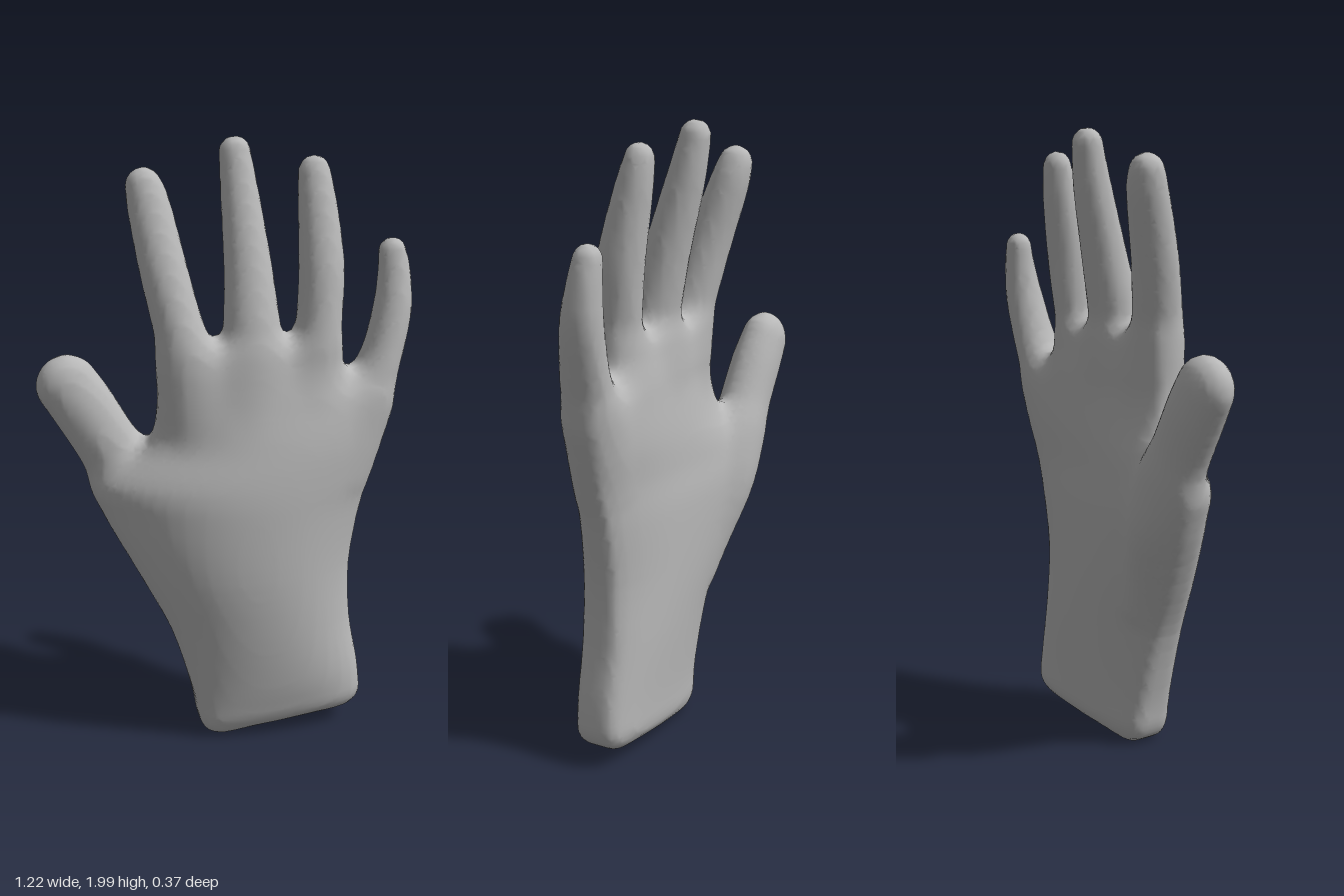
import * as THREE from 'three';

// Smooth (Catmull-Rom) interpolation of rows of numbers, column by column
function resample(rows, steps) {
  const out = [];
  const at = (i) => rows[Math.min(Math.max(i, 0), rows.length - 1)];
  for (let i = 0; i < rows.length - 1; i++) {
    for (let s = 0; s < steps; s++) {
      const t = s / steps;
      out.push(rows[i].map((p1, c) => {
        const p0 = at(i - 1)[c], p2 = at(i + 1)[c], p3 = at(i + 2)[c];
        return p1 + 0.5 * t * (p2 - p0 + t * (2 * p0 - 5 * p1 + 4 * p2 - p3 + t * (3 * (p1 - p2) + p3 - p0)));
      }));
    }
  }
  out.push(rows[rows.length - 1]);
  return out;
}

// Palm cross-sections: y, left x, right x, centre z (3), half thickness (3), squareness
// The triples run from the left edge over the middle to the right edge
const PALM = resample([
  [0, -0.118, 0.443, 0.02, 0.012, 0.005, 0.09, 0.108, 0.09, 0.42],
  [0.08, -0.125, 0.447, 0.02, 0.015, 0.005, 0.09, 0.112, 0.09, 0.42],
  [0.2, -0.148, 0.437, 0.02, 0.025, 0.005, 0.09, 0.126, 0.09, 0.48],
  [0.4, -0.212, 0.407, 0.01, 0.032, 0, 0.095, 0.145, 0.09, 0.55],
  [0.6, -0.312, 0.402, -0.02, 0.035, 0, 0.1, 0.158, 0.088, 0.6],
  [0.8, -0.412, 0.437, -0.055, 0.032, -0.005, 0.1, 0.158, 0.09, 0.62],
  [0.92, -0.435, 0.475, -0.055, 0.032, -0.005, 0.095, 0.148, 0.09, 0.62],
  [1.05, -0.275, 0.51, -0.02, 0.025, -0.012, 0.085, 0.13, 0.085, 0.6],
  [1.17, -0.242, 0.525, 0, 0.015, -0.012, 0.078, 0.108, 0.08, 0.6],
  [1.24, -0.235, 0.42, 0, 0.01, -0.005, 0.075, 0.097, 0.075, 0.6],
  [1.3, -0.232, 0.35, 0, 0.007, 0, 0.07, 0.088, 0.07, 0.62],
  [1.4, -0.22, 0.335, -0.005, 0, 0, 0.055, 0.07, 0.055, 0.65],
], 4);

// Digit centre lines from the root inside the palm: x, y, z, half width, half depth
const DIGITS = Object.entries({
  thumb: [
    [-0.16, 0.5, -0.02, 0.04, 0.06], [-0.265, 0.75, -0.075, 0.09, 0.092], [-0.335, 0.92, -0.09, 0.112, 0.09],
    [-0.4, 1.04, -0.09, 0.102, 0.083], [-0.47, 1.16, -0.095, 0.102, 0.08], [-0.517, 1.232, -0.1, 0.1, 0.073]],
  indexFinger: [
    [-0.1, 1.05, 0.02, 0.08, 0.06], [-0.135, 1.25, 0.012, 0.088, 0.074], [-0.157, 1.37, 0.005, 0.084, 0.08],
    [-0.178, 1.46, -0.012, 0.078, 0.078], [-0.21, 1.61, -0.047, 0.075, 0.072], [-0.242, 1.79, -0.098, 0.068, 0.063],
    [-0.256, 1.855, -0.113, 0.057, 0.054]],
  middleFinger: [
    [0.06, 1.05, 0.03, 0.08, 0.07], [0.065, 1.25, 0.015, 0.098, 0.08], [0.066, 1.37, 0.008, 0.096, 0.08],
    [0.064, 1.46, -0.008, 0.088, 0.078], [0.06, 1.61, -0.043, 0.076, 0.071], [0.046, 1.82, -0.097, 0.061, 0.06],
    [0.035, 1.95, -0.124, 0.05, 0.048]],
  ringFinger: [
    [0.24, 1.05, 0.02, 0.07, 0.06], [0.265, 1.25, 0.01, 0.08, 0.073], [0.277, 1.37, 0.01, 0.077, 0.077],
    [0.287, 1.46, 0, 0.073, 0.077], [0.295, 1.61, -0.02, 0.073, 0.072], [0.287, 1.8, -0.057, 0.061, 0.057],
    [0.28, 1.89, -0.074, 0.051, 0.044]],
  littleFinger: [
    [0.36, 0.92, 0.01, 0.06, 0.06], [0.42, 1.1, -0.005, 0.09, 0.075], [0.467, 1.21, -0.012, 0.08, 0.08],
    [0.508, 1.31, -0.023, 0.067, 0.074], [0.543, 1.45, -0.04, 0.063, 0.064], [0.549, 1.56, -0.054, 0.054, 0.051],
    [0.543, 1.63, -0.062, 0.046, 0.042]],
}).map(([name, rows]) => ({ name, rows: resample(rows, 4) }));

const clamp = THREE.MathUtils.clamp;

// Minimum of two distances with a fillet of size k
function blend(a, b, k) {
  const h = Math.max(k - Math.abs(a - b), 0) / k;
  return Math.min(a, b) - h * h * k / 4;
}

function gradient(f, x, y, z) {
  const e = 0.004;
  return [
    (f(x + e, y, z) - f(x - e, y, z)) / (2 * e),
    (f(x, y + e, z) - f(x, y - e, z)) / (2 * e),
    (f(x, y, z + e) - f(x, y, z - e)) / (2 * e),
  ];
}

// The wrist is cut on a slant that fades out above it
const palmHeight = (x, y) => y - 0.13 * x * clamp(1 - y / 0.4, 0, 1);

// Rounded-box measure of the cross-section at a point: 1 on its outline
function palmSection(x, y, z) {
  const h = clamp(palmHeight(x, y), 0, 1.3999);
  const i = PALM.findIndex((r) => r[0] > h);
  const t = (h - PALM[i - 1][0]) / (PALM[i][0] - PALM[i - 1][0]);
  const [, x0, x1, zL, zM, zR, hL, hM, hR, e] = PALM[i].map((v, c) => THREE.MathUtils.lerp(PALM[i - 1][c], v, t));
  const u = (2 * x - x0 - x1) / (x1 - x0), s = clamp(u, -1, 1);
  const across = (l, m, r) => m + (r - l) / 2 * s + ((l + r) / 2 - m) * s * s;
  const w = (z - across(zL, zM, zR)) / across(hL, hM, hR);
  return (Math.abs(u) ** (2 / e) + Math.abs(w) ** (2 / e)) ** (e / 2);
}

// Signed distance to the palm, with rounded wrist and knuckle ends
function palmDistance(x, y, z) {
  const slope = Math.hypot(...gradient(palmSection, x, y, z));
  const side = (palmSection(x, y, z) - 1) / Math.max(slope, 1);
  const h = palmHeight(x, y);
  return -blend(blend(-side, h - 0.012, 0.09), 1.375 - h, 0.06);
}

// Signed distance to a chain of tapered, flattened capsules
function digitDistance(rows, x, y, z) {
  let best = Infinity;
  for (let i = 1; i < rows.length; i++) {
    const [ax, ay, az, aw, ad] = rows[i - 1], [bx, by, bz, bw, bd] = rows[i];
    const dx = bx - ax, dy = by - ay, dz = bz - az;
    const t = clamp(((x - ax) * dx + (y - ay) * dy + (z - az) * dz) / (dx * dx + dy * dy + dz * dz), 0, 1);
    const w = aw + (bw - aw) * t, d = ad + (bd - ad) * t;
    const off = Math.hypot(x - ax - dx * t, y - ay - dy * t, (z - az - dz * t) * w / d);
    best = Math.min(best, off - w);
  }
  return best;
}

const partDistances = (x, y, z) => [palmDistance(x, y, z), ...DIGITS.map((d) => digitDistance(d.rows, x, y, z))];
const handDistance = (x, y, z) => partDistances(x, y, z).reduce((a, b) => blend(a, b, 0.055));

export function createModel() {
  const hand = new THREE.Group();
  hand.name = 'hand';
  const skin = new THREE.MeshStandardMaterial({ color: 0xb8b8b8 });
  skin.name = 'grey';

  // Sample the blended distance on a grid
  const step = 0.02, min = [-0.67, -0.05, -0.25], size = [68, 106, 26];
  const stride = [1, size[0], size[0] * size[1]];
  const values = new Float32Array(size[0] * size[1] * size[2]);
  const eachPoint = (visit) => {
    for (let k = 0; k < size[2]; k++) for (let j = 0; j < size[1]; j++) for (let i = 0; i < size[0]; i++) {
      visit(i + j * stride[1] + k * stride[2], [i, j, k]);
    }
  };
  eachPoint((id, p) => { values[id] = handDistance(...p.map((c, a) => min[a] + c * step)); });

  // One skin vertex in every cell the surface crosses, moved onto the surface
  const positions = [], vertexPart = [], vertexOf = new Map();
  eachPoint((id, p) => {
    if (p.some((c, a) => c === size[a] - 1)) return;
    const sum = [0, 0, 0];
    let count = 0;
    const corner = (c) => values[id + (c & 1) + (c >> 1 & 1) * stride[1] + (c >> 2) * stride[2]];
    for (let c = 0; c < 8; c++) for (let a = 0; a < 3; a++) {
      if (c >> a & 1) continue;
      const v0 = corner(c), v1 = corner(c | 1 << a);
      if ((v0 < 0) === (v1 < 0)) continue;
      for (let b = 0; b < 3; b++) sum[b] += b === a ? v0 / (v0 - v1) : c >> b & 1;
      count++;
    }
    if (!count) return;
    const q = p.map((c, a) => min[a] + (c + sum[a] / count) * step);
    const g = gradient(handDistance, ...q);
    const push = handDistance(...q) / Math.max(g[0] ** 2 + g[1] ** 2 + g[2] ** 2, 0.3);
    const onSkin = q.map((c, a) => c - g[a] * push);
    const parts = partDistances(...onSkin);
    vertexOf.set(id, vertexPart.length);
    vertexPart.push(parts.indexOf(Math.min(...parts)));
    positions.push(...onSkin);
  });

  // Join the cells around every crossed grid edge, sorted by the nearest part
  const partFaces = [[], ...DIGITS.map(() => [])];
  eachPoint((id, p) => {
    for (let a = 0; a < 3; a++) {
      if (p[a] === size[a] - 1 || (values[id] < 0) === (values[id + stride[a]] < 0)) continue;
      const su = stride[(a + 1) % 3], sv = stride[(a + 2) % 3];
      const quad = [id - su - sv, id - sv, id, id - su].map((cell) => vertexOf.get(cell));
      if (values[id] >= 0) quad.reverse();
      const [q0, q1, q2, q3] = quad;
      partFaces[vertexPart[q0]].push(q0, q1, q2, q0, q2, q3);
    }
  });

  // Shared normals keep the joints between the parts seamless
  const whole = new THREE.BufferGeometry();
  whole.setAttribute('position', new THREE.Float32BufferAttribute(positions, 3));
  whole.setIndex(partFaces.flat());
  whole.computeVertexNormals();
  ['palm', ...DIGITS.map((d) => d.name)].forEach((name, i) => {
    const part = new THREE.Mesh(whole.clone().setIndex(partFaces[i]).toNonIndexed(), skin);
    part.name = name;
    hand.add(part);
  });
  return hand;
}
